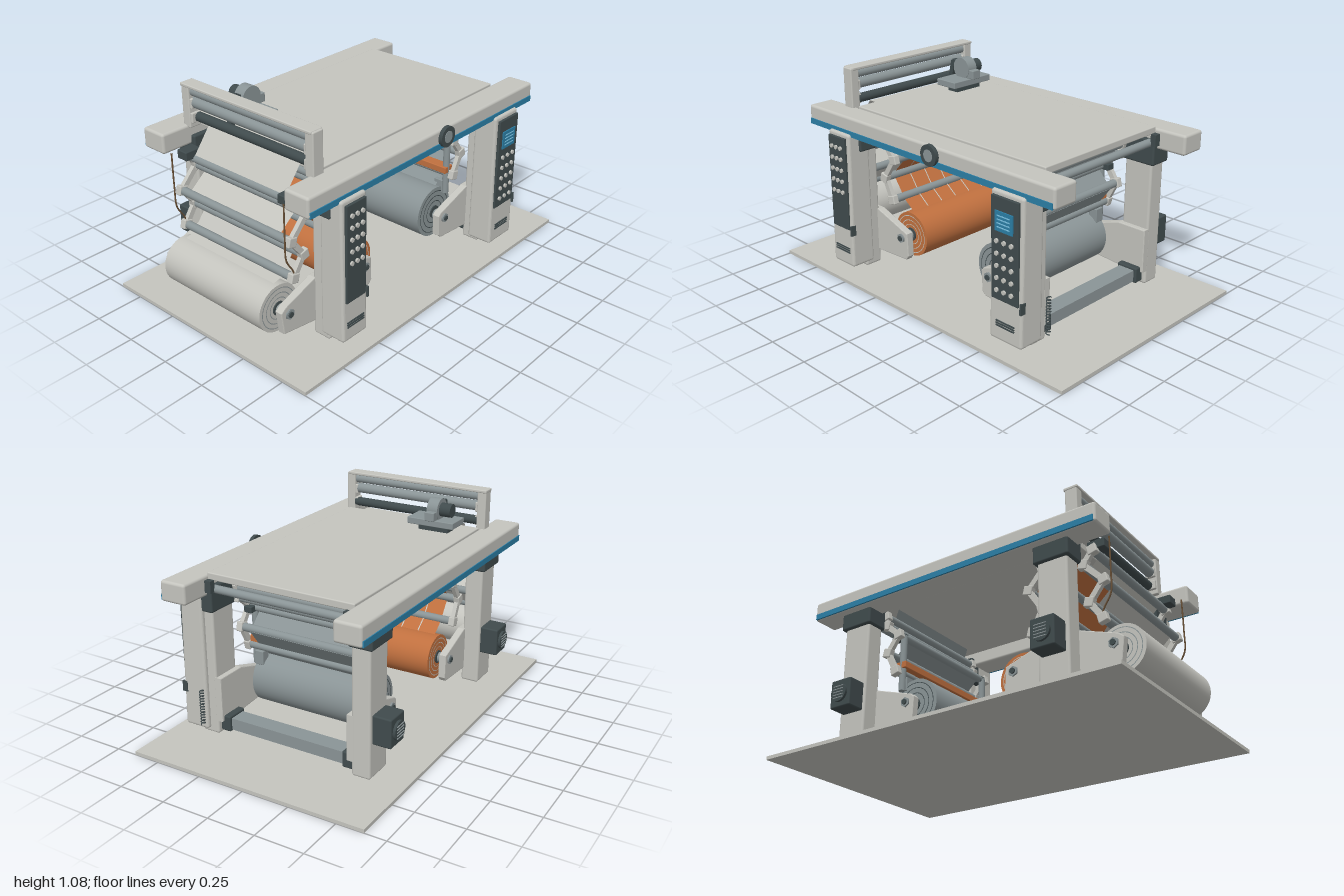
import * as THREE from 'three';
import { RoundedBoxGeometry } from 'three/addons/geometries/RoundedBoxGeometry.js';

const mat = (name, color, side = THREE.FrontSide) => {
  const m = new THREE.MeshStandardMaterial({ color, side });
  m.name = name;
  return m;
};

export function createModel() {
  const root = new THREE.Group();
  root.name = 'webPress';
  const light = mat('lightGrey', 0xc4c4be, THREE.DoubleSide);
  const steel = mat('steelGrey', 0x8a9496, THREE.DoubleSide);
  const dark = mat('darkSlate', 0x404b4d);
  const blue = mat('blue', 0x2b7fa6);
  const sky = mat('skyBlue', 0x7cc4e4);
  const copper = mat('copper', 0xc0703f, THREE.DoubleSide);
  const brown = mat('cableBrown', 0x6b5238);

  const add = (name, geo, m, x = 0, y = 0, z = 0) => {
    const mesh = new THREE.Mesh(geo, m);
    mesh.name = name;
    mesh.position.set(x, y, z);
    root.add(mesh);
    return mesh;
  };
  // box from its limits, optionally with rounded edges
  const box = (name, m, x0, x1, y0, y1, z0, z1, r = 0) => {
    const s = [x1 - x0, y1 - y0, z1 - z0];
    const geo = r ? new RoundedBoxGeometry(...s, 3, r) : new THREE.BoxGeometry(...s);
    return add(name, geo, m, (x0 + x1) / 2, (y0 + y1) / 2, (z0 + z1) / 2);
  };
  // cylinder lying along z
  const rod = (name, m, x, y, r, z0, z1, sides = 24) =>
    add(name, new THREE.CylinderGeometry(r, r, z1 - z0, sides).rotateX(Math.PI / 2), m, x, y, (z0 + z1) / 2);
  // flat link between two points at depth z
  const link = (name, m, a, b, w, d, z) => {
    const dx = b[0] - a[0], dy = b[1] - a[1];
    const mesh = add(name, new THREE.BoxGeometry(Math.hypot(dx, dy), w, d), m, (a[0] + b[0]) / 2, (a[1] + b[1]) / 2, z);
    mesh.rotation.z = Math.atan2(dy, dx);
  };
  // material web running through a list of xy points
  const web = (name, m, pts, half, z = 0) => {
    const g = new THREE.PlaneGeometry(1, 1, 1, pts.length - 1);
    const p = g.attributes.position;
    for (let i = 0; i < p.count; i++) {
      const [x, y] = pts[Math.floor(i / 2)];
      p.setXYZ(i, x, y, i % 2 ? -half : half);
    }
    const flat = g.toNonIndexed();
    flat.computeVertexNormals();
    return add(name, flat, m, 0, 0, z);
  };
  const tube = (name, m, pts, r, curved) => {
    const v = pts.map((p) => new THREE.Vector3(...p));
    let path = new THREE.CatmullRomCurve3(v);
    if (!curved) {
      path = new THREE.CurvePath();
      for (let i = 1; i < v.length; i++) path.add(new THREE.LineCurve3(v[i - 1], v[i]));
    }
    add(name, new THREE.TubeGeometry(path, pts.length * 6, r, 6), m);
  };

  // floor and table
  box('floorPlate', light, -1, 1, 0, 0.018, -0.64, 0.64);
  box('tablePlate', light, -0.62, 0.675, 0.845, 0.882, -0.4, 0.4, 0.006);

  for (const s of [-1, 1]) {
    const zBox = (name, m, x0, x1, y0, y1, za, zb, r) =>
      box(name, m, x0, x1, y0, y1, Math.min(s * za, s * zb), Math.max(s * za, s * zb), r);
    const zRod = (name, m, x, y, r, za, zb, n) => rod(name, m, x, y, r, Math.min(s * za, s * zb), Math.max(s * za, s * zb), n);

    // long rails with coloured stripe
    zBox('sideRail', light, -0.855, 0.85, 0.768, 0.872, 0.395, 0.538, 0.014);
    zBox('railStripe', blue, -0.845, 0.84, 0.772, 0.802, 0.535, 0.543);

    // posts, collars and feet
    for (const x of [-0.59, 0.595]) {
      zBox('post', light, x - 0.08, x + 0.08, 0.033, 0.8, 0.382, 0.48, 0.012);
      zBox('postCollar', dark, x - 0.095, x + 0.095, 0.682, 0.815, 0.372, 0.497, 0.01);
    }

    // roll brackets
    const outline = (pts) => new THREE.ExtrudeGeometry(new THREE.Shape(pts.map((p) => new THREE.Vector2(...p))),
      { depth: 0.032, bevelEnabled: true, bevelThickness: 0.004, bevelSize: 0.005, bevelSegments: 2 });
    const z = s > 0 ? 0.359 : -0.391;
    add('rollBracket', outline([[-0.87, 0.14], [-0.67, 0.11], [-0.5, 0.11], [-0.29, 0.12], [-0.275, 0.14],
      [-0.28, 0.26], [-0.5, 0.335], [-0.67, 0.335], [-0.86, 0.27], [-0.885, 0.25]]), light, 0, 0, z);
    add('rollBracket', outline([[0.28, 0.14], [0.3, 0.125], [0.5, 0.11], [0.67, 0.11], [0.67, 0.335],
      [0.51, 0.335], [0.29, 0.265], [0.275, 0.25]]), light, 0, 0, z);
    for (const x of [-0.84, -0.32, 0.32]) {
      zRod('spindleFlange', steel, x, 0.23, 0.028, 0.335, 0.35);
      zRod('spindleBolt', steel, x, 0.23, 0.026, 0.39, 0.403, 6);
      zRod('spindleHub', dark, x, 0.23, 0.014, 0.4, 0.41, 16);
    }

    // upper frame uprights
    zBox('frameUpright', light, -0.7, -0.635, 0.86, 1.08, 0.375, 0.425, 0.006);
    for (const y of [0.985, 0.912]) zBox('frameBearing', light, -0.695, -0.64, y - 0.026, y + 0.026, 0.362, 0.405, 0.005);

    // guide poles for the copper bar
    add('guidePole', new THREE.CylinderGeometry(0.018, 0.018, 0.3, 16), steel, 0.4, 0.48, s * 0.335);
    zBox('poleCap', dark, 0.39, 0.46, 0.615, 0.648, 0.315, 0.36, 0.004);
    zBox('poleFoot', steel, 0.375, 0.425, 0.33, 0.405, 0.28, 0.33, 0.004);
    zBox('beamEnd', dark, 0.54, 0.66, 0.052, 0.135, 0.322, 0.378, 0.008);
    zBox('tableEndBearing', dark, 0.675, 0.705, 0.79, 0.85, 0.36, 0.395);
    zBox('entryBearing', dark, -0.8, -0.71, 0.745, 0.79, 0.3, 0.365, 0.005);
    tube('sideCable', brown, [[-0.77, 0.37, s * 0.37], [-0.785, 0.42, s * 0.37], [-0.825, 0.49, s * 0.37],
      [-0.83, 0.6, s * 0.37], [-0.83, 0.78, s * 0.37]], 0.004, true);
  }

  // zigzag linkages carrying the guide rollers
  const chains = [
    [[-0.74, 0.74], [-0.69, 0.675], [-0.79, 0.57], [-0.715, 0.475], [-0.78, 0.38]],
    [[-0.47, 0.725], [-0.39, 0.635], [-0.465, 0.52], [-0.41, 0.41]],
    [[0.5, 0.76], [0.49, 0.705], [0.41, 0.635], [0.475, 0.545], [0.42, 0.435]],
  ];
  for (const chain of chains) {
    for (const z of [-0.365, 0.365]) {
      chain.forEach((p, i) => {
        if (i) link('linkArm', light, chain[i - 1], p, 0.028, 0.022, z);
        const knuckle = box('linkKnuckle', light, p[0] - 0.024, p[0] + 0.024, p[1] - 0.024, p[1] + 0.024, z - 0.017, z + 0.017, 0.005);
        knuckle.rotation.z = 0.25 * (i % 2 ? 1 : -1);
      });
    }
    for (const [x, y] of chain) rod('guideRoller', steel, x, y, 0.021, -0.36, 0.36, 20);
  }

  // material rolls with ringed ends
  const rolls = [[-0.84, 0.23, 0.12, light, 'paperRoll'], [-0.32, 0.23, 0.12, copper, 'copperRoll'], [0.32, 0.24, 0.138, steel, 'steelRoll']];
  for (const [x, y, r, m, name] of rolls) {
    rod(name, m, x, y, r, -0.325, 0.325, 48);
    rod('spindle', steel, x, 0.23, 0.017, -0.39, 0.39);
    for (const s of [-1, 1]) {
      for (const k of [0.45, 0.65, 0.85]) {
        const g = new THREE.RingGeometry(r * k - 0.002, r * k + 0.002, 40);
        if (s < 0) g.rotateY(Math.PI);
        add('rollEndRing', g, m === steel ? dark : m === light ? steel : light, x, y, s * 0.327);
      }
      rod('rollCore', dark, x, y, 0.035, s * 0.328 - 0.003, s * 0.328 + 0.003);
    }
  }

  // webs
  web('paperWeb', light, [[-0.84, 0.35], [-0.79, 0.36], [-0.7, 0.475], [-0.805, 0.57], [-0.675, 0.675], [-0.75, 0.755], [-0.65, 0.885], [-0.6, 0.885]], 0.3);
  const copperPath = [[-0.33, 0.35], [-0.395, 0.4], [-0.48, 0.52], [-0.375, 0.635], [-0.455, 0.74], [-0.56, 0.83]];
  web('copperWeb', copper, copperPath, 0.3);
  for (const z of [-0.2, -0.1, 0, 0.1, 0.2])
    for (const d of [-0.003, 0.003]) web('webLine', light, copperPath.slice(0, 4).map(([x, y]) => [x + d, y + d]), 0.003, z);
  web('steelWeb', steel, [[0.36, 0.37], [0.4, 0.41], [0.495, 0.535], [0.392, 0.64], [0.505, 0.708], [0.51, 0.745], [0.48, 0.83]], 0.3);
  box('copperBar', copper, 0.37, 0.43, 0.45, 0.486, -0.352, 0.352, 0.004);
  rod('tableEndRoller', steel, 0.66, 0.8, 0.02, -0.38, 0.38);
  box('crossBeam', steel, 0.555, 0.645, 0.06, 0.122, -0.34, 0.34);

  // upper frame beam and rollers
  box('frameBeam', light, -0.705, -0.63, 1.068, 1.084, -0.427, 0.415, 0.005);
  rod('frameRoller', steel, -0.667, 1.043, 0.024, -0.375, 0.375);
  rod('frameRoller', steel, -0.667, 0.988, 0.027, -0.375, 0.375);
  rod('driveRoller', dark, -0.655, 0.912, 0.024, -0.375, 0.375);

  // pump unit on the table
  box('pumpBase', steel, -0.545, -0.405, 0.915, 0.95, -0.345, -0.08, 0.004);
  box('pumpFoot', dark, -0.51, -0.44, 0.88, 0.916, -0.3, -0.13);
  rod('pumpBody', steel, -0.47, 0.998, 0.058, -0.25, -0.19, 32);
  box('pumpOutlet', steel, -0.47, -0.38, 0.95, 0.997, -0.247, -0.193, 0.004);
  rod('pumpMotor', dark, -0.47, 0.998, 0.036, -0.312, -0.25);
  link('pumpArm', dark, [-0.585, 0.885], [-0.55, 1.025], 0.026, 0.03, -0.22);
  link('pumpArm', dark, [-0.555, 1.025], [-0.47, 0.995], 0.02, 0.03, -0.22);

  // rear motors with fan guards
  for (const x of [-0.59, 0.59]) {
    box('rearMotor', dark, x - 0.063, x + 0.063, 0.21, 0.358, -0.575, -0.475, 0.008);
    rod('fanGuard', dark, x, 0.284, 0.048, -0.588, -0.574);
    for (let i = -2; i <= 2; i++) box('fanBar', steel, x - 0.032, x + 0.032, 0.282 + i * 0.015, 0.286 + i * 0.015, -0.592, -0.587);
  }

  // front control cabinets
  for (const [x, hw] of [[-0.59, 0.083], [0.597, 0.1]]) {
    const cover = box('controlCabinet', light, x - hw, x + hw, 0.055, 0.785, 0.43, 0.57, 0.014);
    const p = cover.geometry.attributes.position;
    for (let i = 0; i < p.count; i++) if (p.getY(i) > 0.3 && p.getZ(i) > 0) p.setZ(i, p.getZ(i) - 0.012);
    cover.geometry.computeVertexNormals();
    const right = x > 0;
    box('controlPanel', dark, x - hw + 0.018, x + hw - 0.018, 0.265, 0.765, 0.56, 0.575, 0.003);
    for (let row = 0; row < 5; row++)
      for (let col = -1; col <= 1; col++) {
        const y = (right ? 0.555 : 0.71) - row * 0.06, bx = x + col * (right ? 0.045 : 0.035);
        rod('button', light, bx, y, 0.011, 0.572, 0.584, 12);
      }
    for (let i = 0; i < 3; i++) box('ventSlot', dark, x - 0.057, x + 0.057, 0.128 + i * 0.012, 0.135 + i * 0.012, 0.568, 0.573);
    box('doorHandle', dark, x + hw - 0.008, x + hw + 0.003, 0.235, 0.29, 0.545, 0.575);
  }
  box('screen', blue, 0.542, 0.65, 0.605, 0.7, 0.573, 0.581);
  for (let i = 0; i < 4; i++) box('screenLine', sky, 0.558, 0.634, 0.623 + i * 0.018, 0.628 + i * 0.018, 0.58, 0.583);

  // rail knob and coiled lead
  rod('railKnob', dark, 0.09, 0.828, 0.053, 0.538, 0.558, 32);
  rod('knobFace', steel, 0.09, 0.828, 0.03, 0.557, 0.56, 32);
  const coil = [];
  for (let i = 0; i <= 104; i++) {
    const a = i * Math.PI / 4;
    coil.push([0.733 + 0.01 * Math.cos(a), 0.1 + 0.19 * i / 104, 0.43 + 0.01 * Math.sin(a)]);
  }
  tube('coiledLead', dark, coil, 0.003, true);
  return root;
}
